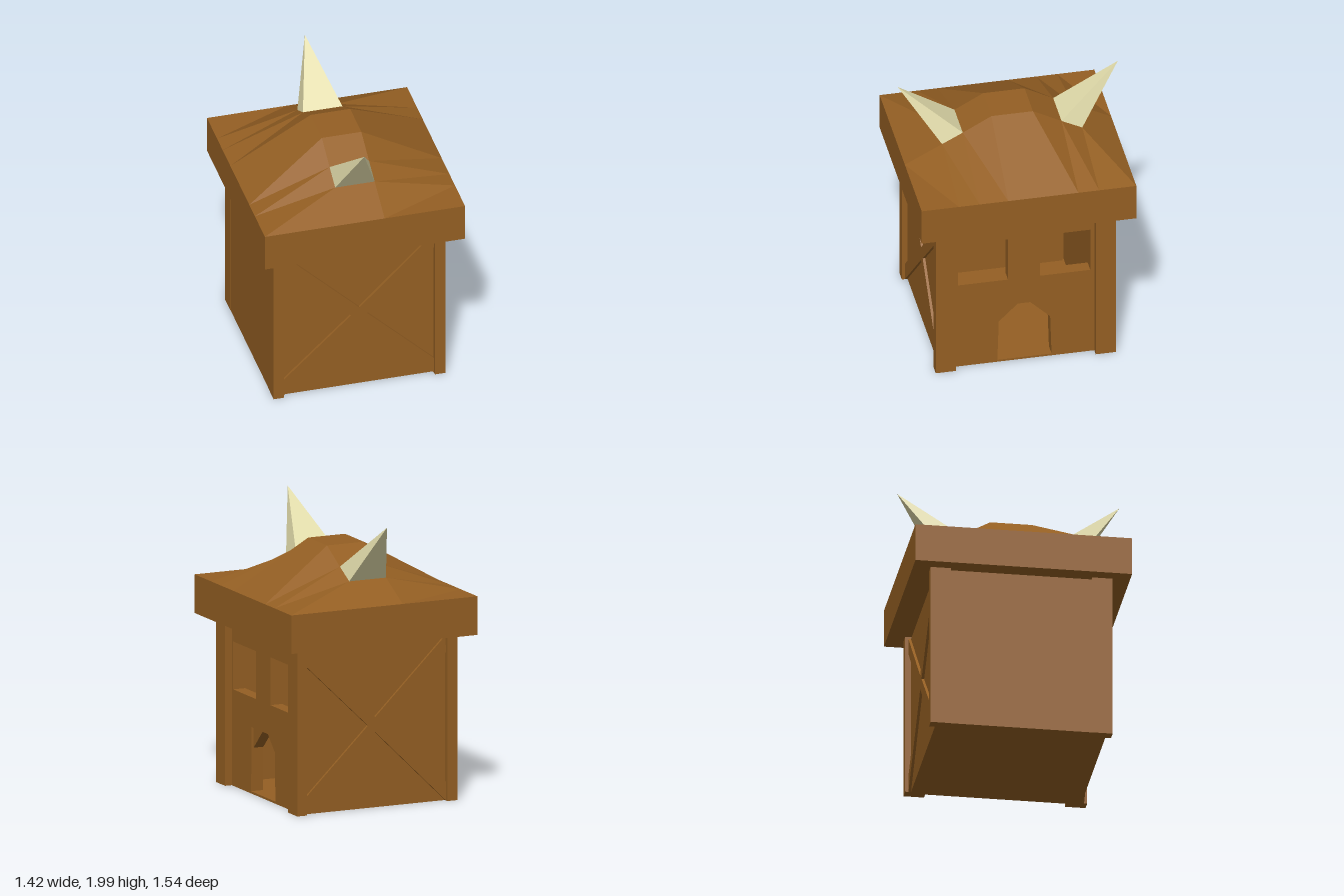
import * as THREE from 'three';

const brown = new THREE.MeshStandardMaterial({ color: 0x945f23 });
brown.name = 'brownWood';
const ivory = new THREE.MeshStandardMaterial({ color: 0xe2dcab });
ivory.name = 'ivoryHorn';

const BASE = 0.01, WALL_TOP = 1.165, EAVES = 1.18, ROOF_EDGE = 1.45;

export function createModel() {
  const model = new THREE.Group();
  model.name = 'hornedHut';

  const add = (name, geometry, material = brown) => {
    const mesh = new THREE.Mesh(geometry, material);
    mesh.name = name;
    model.add(mesh);
    return mesh;
  };
  // Box given by its low and high corners
  const block = (name, x0, x1, y0, y1, z0, z1) => {
    const g = new THREE.BoxGeometry(x1 - x0, y1 - y0, z1 - z0);
    g.translate((x0 + x1) / 2, (y0 + y1) / 2, (z0 + z1) / 2);
    return add(name, g);
  };
  const shapeOf = (pts) => new THREE.Shape(pts.map(([x, y]) => new THREE.Vector2(x, y)));
  const slab = (shape, depth) => new THREE.ExtrudeGeometry(shape, { depth, bevelEnabled: false });

  // Floor and plain left wall
  block('floor', -0.613, 0.555, BASE, BASE + 0.015, -0.59, 0.59);
  block('leftWall', -0.613, -0.52, BASE, WALL_TOP, -0.49, 0.49);

  // Front and back walls, each with a raised cross brace
  const cross = shapeOf([
    [-0.535, WALL_TOP], [0, 0.645], [0.53, WALL_TOP], [0.53, 1.05],
    [0.055, 0.59], [0.53, 0.13], [0.53, BASE], [0, 0.54],
    [-0.54, BASE], [-0.54, 0.14], [-0.06, 0.59], [-0.54, 1.05],
  ]);
  for (const [side, s] of [['front', 1], ['back', -1]]) {
    const zs = [0.5 * s, 0.59 * s].sort((a, b) => a - b);
    block(side + 'Wall', -0.54, 0.53, BASE, WALL_TOP, zs[0], zs[1]);
    const brace = slab(cross, 0.02);
    brace.translate(0, 0, s > 0 ? 0.588 : -0.608);
    add(side + 'CrossBrace', brace);

    // Corner posts
    const pz = [0.488 * s, 0.63 * s].sort((a, b) => a - b);
    block(side + 'LeftWallPost', -0.615, -0.54, BASE, EAVES, pz[0], pz[1]);
    block(side + 'DoorWallPost', 0.53, 0.605, BASE, EAVES, pz[0], pz[1]);
  }

  // Entrance wall with two windows and a doorway; drawn flat, then turned to face +x
  const entrance = shapeOf([
    [-0.49, BASE], [-0.19, BASE], [-0.18, 0.33], [-0.18, 0.475],
    [0.18, 0.475], [0.18, 0.33], [0.19, BASE], [0.49, BASE],
    [0.49, WALL_TOP], [-0.49, WALL_TOP],
  ]);
  for (const [u0, u1] of [[-0.465, -0.115], [0.11, 0.46]]) {
    entrance.holes.push(new THREE.Path([
      new THREE.Vector2(u0, 0.685), new THREE.Vector2(u0, 1.02),
      new THREE.Vector2(u1, 1.02), new THREE.Vector2(u1, 0.685),
    ]));
  }
  const turned = (shape, depth, x) => slab(shape, depth).rotateY(Math.PI / 2).translate(x, 0, 0);
  add('entranceWall', turned(entrance, 0.09, 0.465));
  for (const s of [-1, 1]) {
    const corner = shapeOf([[0.18 * s, 0.33], [0.18 * s, 0.475], [0.033 * s, 0.475]]);
    add('doorArchCorner', turned(corner, 0.075, 0.465));
  }

  // Roof slab
  block('roofSlab', -0.71, 0.71, EAVES, ROOF_EDGE, -0.75, 0.75);

  // Roof cap: central strip follows a profile, side strips slope down to the straight eaves
  const xs = [-0.71, -0.14, 0.14, 0.71];
  const profile = [
    [-0.75, 1.45], [-0.49, 1.585], [-0.345, 1.66], [-0.145, 1.77],
    [0.145, 1.77], [0.345, 1.66], [0.49, 1.585], [0.75, 1.45],
  ];
  const grid = new THREE.PlaneGeometry(1, 1, xs.length - 1, profile.length - 1);
  grid.rotateX(-Math.PI / 2);
  profile.forEach(([z, h], row) => xs.forEach((x, col) => {
    const y = Math.abs(x) > 0.5 ? ROOF_EDGE : h;
    grid.attributes.position.setXYZ(row * xs.length + col, x, y, z);
  }));
  const cap = grid.toNonIndexed();
  cap.computeVertexNormals();
  add('roofCap', cap);

  // Horns: leaning four-sided spikes rising from the roof slopes
  for (const [name, s] of [['frontHorn', 1], ['backHorn', -1]]) {
    const base = [
      [-0.14, 1.585, 0.49 * s], [0.14, 1.585, 0.49 * s],
      [0.14, 1.66, 0.345 * s], [-0.14, 1.66, 0.345 * s],
    ];
    if (s < 0) base.reverse();
    const tip = [-0.01, 2, 0.77 * s];
    const points = [];
    base.forEach((p, i) => points.push(...p, ...base[(i + 1) % 4], ...tip));
    const horn = new THREE.BufferGeometry();
    horn.setAttribute('position', new THREE.Float32BufferAttribute(points, 3));
    horn.computeVertexNormals();
    add(name, horn, ivory);
  }
  return model;
}
